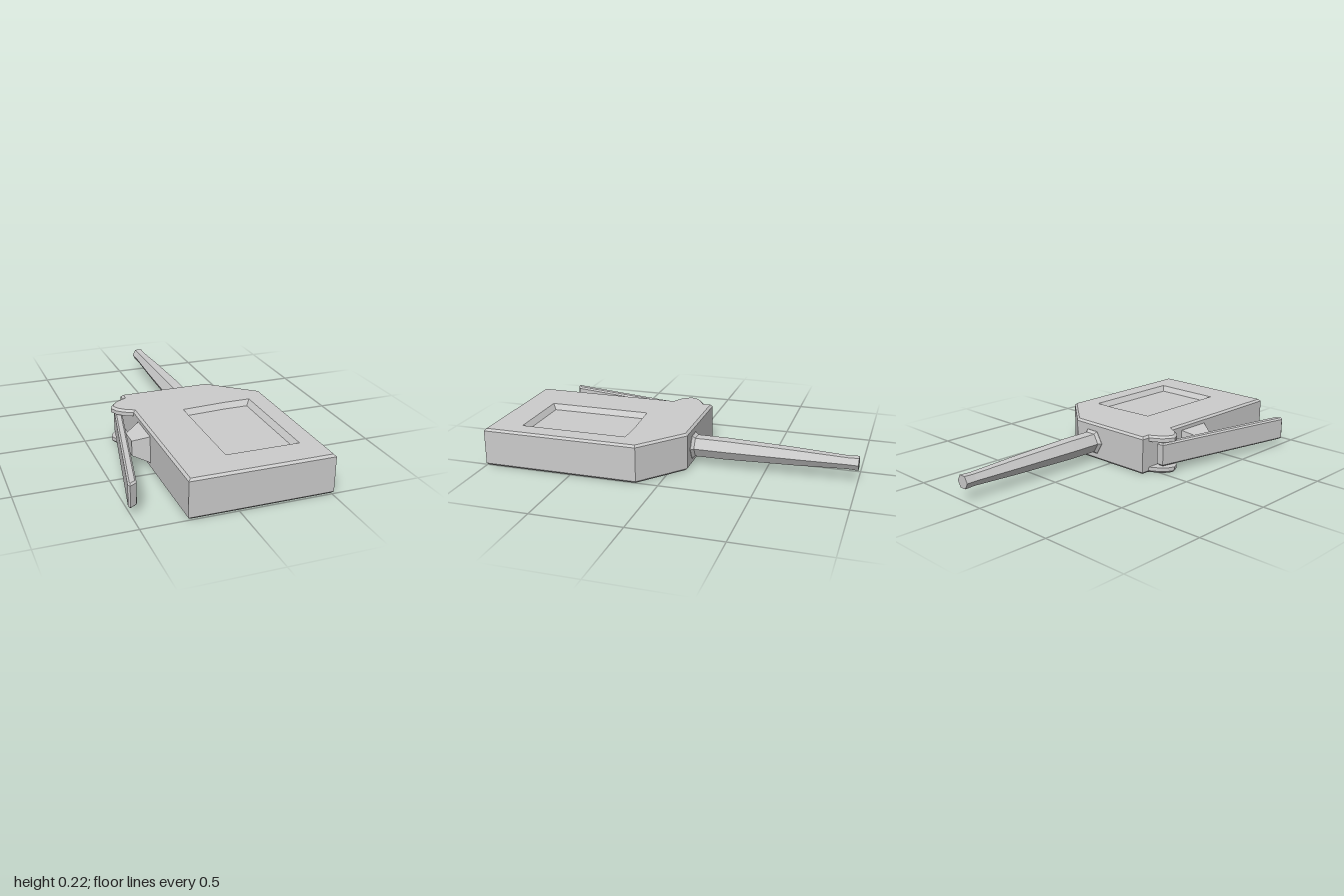
import * as THREE from 'three';
import { mergeGeometries } from 'three/addons/utils/BufferGeometryUtils.js';

const MID = 0.1075; // mid height of the body
const material = new THREE.MeshStandardMaterial({ color: 0xcccccc, flatShading: true });

function fromTriangles(positions) {
  const g = new THREE.BufferGeometry();
  g.setAttribute('position', new THREE.Float32BufferAttribute(positions, 3));
  return g;
}

// Skin between successive closed loops of [x, y, z] points
function loft(...loops) {
  const out = [];
  for (let k = 0; k + 1 < loops.length; k++) {
    const a = loops[k], b = loops[k + 1], n = a.length;
    for (let i = 0; i < n; i++) {
      const j = (i + 1) % n;
      out.push(...a[i], ...a[j], ...b[j], ...a[i], ...b[j], ...b[i]);
    }
  }
  return fromTriangles(out);
}

// Plan outlines are [x, z] lists, counter-clockwise seen from above
const at = (plan, y) => plan.map(([x, z]) => [x, y, z]);

function flipWinding(g) {
  const p = g.attributes.position.array;
  for (let i = 0; i < p.length; i += 9)
    for (let c = 0; c < 3; c++) [p[i + c], p[i + 3 + c]] = [p[i + 3 + c], p[i + c]];
  return g;
}

function cap(plan, y, hole) {
  const vec = ([x, z]) => new THREE.Vector2(x, -z);
  const shape = new THREE.Shape(plan.map(vec));
  if (hole) shape.holes.push(new THREE.Path(hole.map(vec).reverse()));
  const g = new THREE.ShapeGeometry(shape).rotateX(-Math.PI / 2).translate(0, y, 0).toNonIndexed();
  return fromTriangles(Array.from(g.attributes.position.array));
}

// Moves every edge of an outline inwards by d, with mitred corners
function inset(plan, d) {
  const n = plan.length;
  const normal = (p, q) => {
    const dx = q[0] - p[0], dz = q[1] - p[1], l = Math.hypot(dx, dz);
    return [dz / l, -dx / l];
  };
  return plan.map((p, i) => {
    const a = normal(plan[(i + n - 1) % n], p), b = normal(p, plan[(i + 1) % n]);
    const s = d / (1 + a[0] * b[0] + a[1] * b[1]);
    return [p[0] + (a[0] + b[0]) * s, p[1] + (a[1] + b[1]) * s];
  });
}

// Joins an upper half with its mirror image and lifts it to mid height
function mirrored(parts) {
  const top = mergeGeometries(parts);
  const bottom = flipWinding(top.clone().scale(1, -1, 1));
  const g = mergeGeometries([top, bottom]).translate(0, MID, 0);
  g.computeVertexNormals();
  return g;
}

function bodyGeometry() {
  const h = MID, bevel = 0.012, earY = h - 0.033;
  const block = [[-0.26, 1], [0.51, 1], [0.51, 0.12], [0.26, -0.09], [-0.26, -0.09]];
  const ear = [[-0.26, -0.04], [-0.32, -0.005], [-0.345, 0.025], [-0.36, 0.06],
    [-0.342, 0.1], [-0.31, 0.13], [-0.26, 0.157]];
  const full = [...block, ...ear];
  const rim = [[0, 0.82], [0.4, 0.82], [0.4, 0.215], [0.25, 0.215], [0, 0.232]];
  const floor = inset(rim, 0.022);
  return mirrored([
    loft(at(block, 0), at(block, earY)),
    flipWinding(cap(ear, earY)), // underside of the hinge ear
    loft(at(full, earY), at(full, h - bevel), at(inset(full, bevel), h)),
    cap(inset(full, bevel), h, rim),
    loft(at(rim, h), at(floor, h - 0.03)), // sloped walls of the recess
    cap(floor, h - 0.03),
  ]);
}

function leverGeometry() {
  const plan = [[-0.513, 0.866], [-0.505, 0.88], [-0.468, 0.858], [-0.463, 0.845], [-0.285, 0], [-0.327, 0]];
  const h = 0.066, b = 0.009;
  return mirrored([
    loft(at(plan, 0), at(plan, h - b), at(inset(plan, b), h)),
    cap(inset(plan, b), h),
  ]);
}

function buttonGeometry() {
  const ring = (x, y0, y1, z0, z1) => [[x, y0, z0], [x, y0, z1], [x, y1, z1], [x, y1, z0]];
  const g = loft(
    ring(-0.25, 0.025, 0.19, 0.225, 0.45),
    ring(-0.265, 0.035, 0.18, 0.24, 0.435),
    ring(-0.345, 0.065, 0.15, 0.287, 0.39),
    ring(-0.345, 0.107, 0.107, 0.34, 0.34));
  g.computeVertexNormals();
  return g;
}

// Hexagonal tapering rod with a flared collar, pointing to the back
function rodGeometry() {
  const profile = [[0.076, 0.06], [0.076, 0.092], [0.061, 0.108], [0.061, 0.28],
    [0.05, 0.65], [0.037, 0.94], [0.04, 1], [0, 1]];
  return new THREE.LatheGeometry(profile.map(p => new THREE.Vector2(...p)), 6, Math.PI / 2)
    .rotateX(-Math.PI / 2).translate(0.135, 0.104, 0);
}

export function createModel() {
  const model = new THREE.Group();
  model.name = 'handheldDevice';
  const parts = { body: bodyGeometry(), lever: leverGeometry(), button: buttonGeometry(), rod: rodGeometry() };
  for (const [name, geometry] of Object.entries(parts)) {
    const mesh = new THREE.Mesh(geometry, material);
    mesh.name = name;
    model.add(mesh);
  }
  return model;
}
